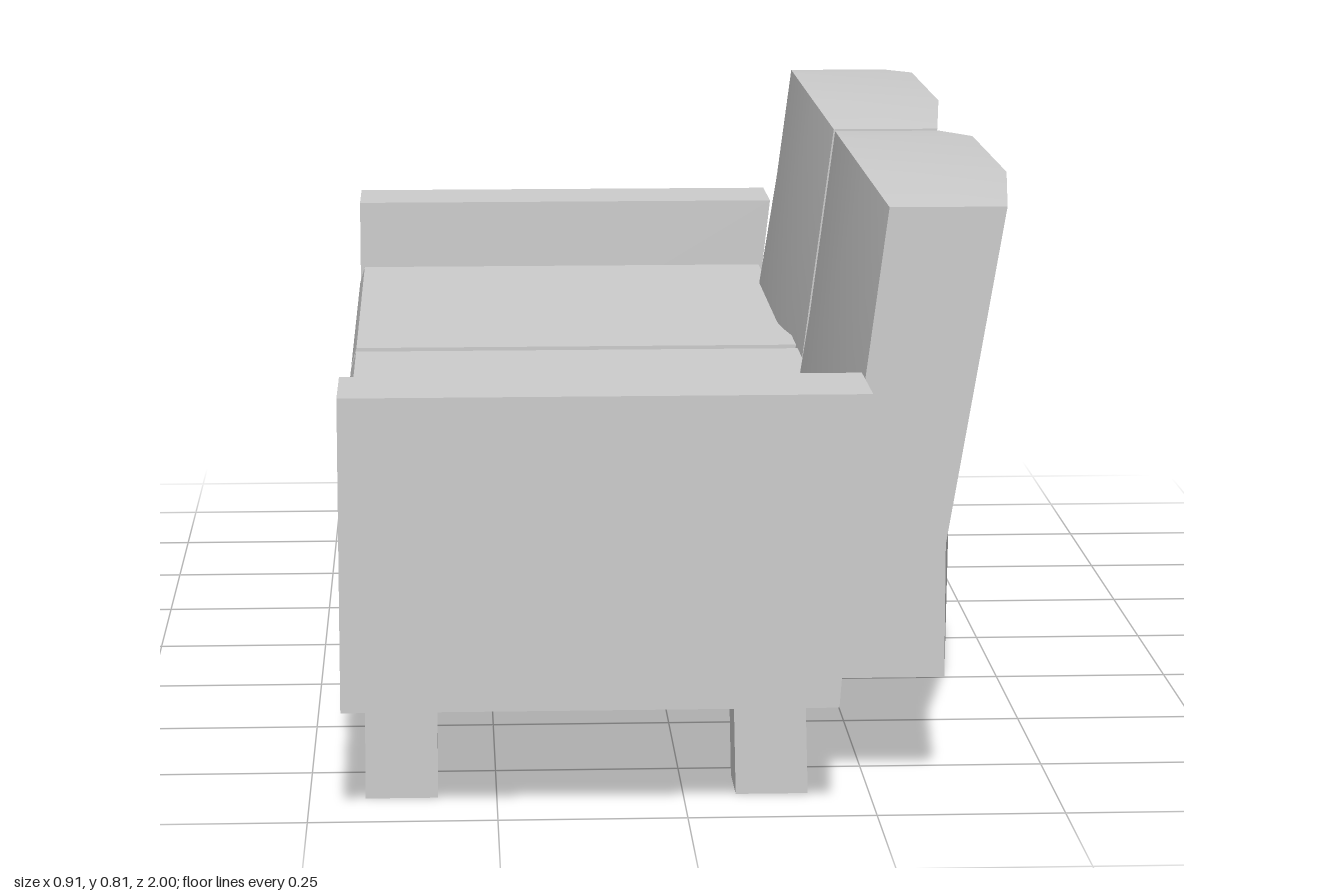
import * as THREE from 'three';
import { toCreasedNormals } from 'three/addons/utils/BufferGeometryUtils.js';

const HALF = 0.414;    // half width of one seat unit
const CENTRE = 0.426;  // z centre of each seat unit
const BOTTOM = 0.147;  // underside of the body

const material = new THREE.MeshStandardMaterial({ color: 0xcccccc });

function add(parent, name, geometry) {
  const mesh = new THREE.Mesh(geometry, material);
  mesh.name = name;
  parent.add(mesh);
  return mesh;
}

// Extrude an x/y profile from z0 to z1
function slab(points, z0, z1) {
  const shape = new THREE.Shape(points.map(([x, y]) => new THREE.Vector2(x, y)));
  const geometry = new THREE.ExtrudeGeometry(shape, { depth: z1 - z0, bevelEnabled: false });
  geometry.translate(0, 0, z0);
  return toCreasedNormals(geometry, 0.6);
}

// Skin a series of x/y cross-sections along z, with fan caps from one corner
function loft(sections, fan) {
  const n = sections[0].points.length;
  const positions = [];
  const index = [];
  sections.forEach(({ z, points }) => points.forEach(([x, y]) => positions.push(x, y, z)));
  for (let i = 0; i < sections.length - 1; i++) {
    for (let j = 0; j < n; j++) {
      const a = i * n + j, b = i * n + (j + 1) % n;
      index.push(a, a + n, b + n, a, b + n, b);
    }
  }
  const last = (sections.length - 1) * n;
  for (let k = 1; k < n - 1; k++) {
    const p = (fan + k) % n, q = (fan + k + 1) % n;
    index.push(fan, p, q, last + fan, last + q, last + p);
  }
  const geometry = new THREE.BufferGeometry();
  geometry.setAttribute('position', new THREE.Float32BufferAttribute(positions, 3));
  geometry.setIndex(index);
  return toCreasedNormals(geometry, 0.5);
}

// Backrest pad: kinked at its ends, fuller and taller in the middle
function backrestGeometry() {
  const end = [[0.2, BOTTOM], [0.215, 0.33], [0.275, 0.787], [0.432, 0.787], [0.355, 0.33], [0.355, BOTTOM]];
  const mid = [[0.2, BOTTOM], [0.187, 0.33], [0.262, 0.805], [0.457, 0.805], [0.383, 0.33], [0.355, BOTTOM]];
  return loft([
    { z: -HALF, points: end },
    { z: -0.2, points: mid },
    { z: 0.2, points: mid },
    { z: HALF, points: end },
  ], 4);
}

// Leg: a box sheared outwards towards the floor
function legGeometry(side) {
  const geometry = new THREE.BoxGeometry(0.097, BOTTOM, 0.1).translate(0, BOTTOM / 2, 0);
  const p = geometry.attributes.position;
  for (let i = 0; i < p.count; i++) {
    p.setZ(i, p.getZ(i) + side * (0.835 - 0.055 * p.getY(i) / BOTTOM));
  }
  return geometry.toNonIndexed();
}

export function createModel() {
  const sofa = new THREE.Group();
  sofa.name = 'sofa';

  const baseProfile = [[-0.455, BOTTOM], [0.2, BOTTOM], [0.215, 0.335], [-0.455, 0.335]];
  const cushionProfile = [
    [-0.4, 0.335], [-0.43, 0.344], [-0.45, 0.365], [-0.458, 0.4],
    [-0.456, 0.43], [-0.448, 0.457], [0.22, 0.457], [0.205, 0.335],
  ];
  const armProfile = [[-0.455, BOTTOM], [0.199, BOTTOM], [0.213, 0.33], [0.24, 0.565], [-0.455, 0.565]];

  for (const side of [-1, 1]) {
    const unit = new THREE.Group();
    unit.name = side > 0 ? 'leftUnit' : 'rightUnit';
    sofa.add(unit);

    // Seat base, cushion and backrest of one unit
    add(unit, 'base', slab(baseProfile, -HALF, HALF)).position.z = side * CENTRE;
    add(unit, 'seatCushion', slab(cushionProfile, -0.406, 0.406)).position.z = side * (CENTRE - 0.004);
    add(unit, 'backrest', backrestGeometry()).position.z = side * CENTRE;

    // Armrest
    add(unit, 'armrest', slab(armProfile, -0.08, 0.08)).position.z = side * 0.92;

    // Splayed legs
    for (const [name, x] of [['frontLeg', -0.377], ['rearLeg', 0.119]]) {
      add(unit, name, legGeometry(side)).position.x = x;
    }
  }

  // Recessed joint strips between the two units
  add(sofa, 'seatJoint', slab([[-0.437, 0.163], [0.23, 0.163], [0.23, 0.43], [-0.437, 0.43]], -0.014, 0.014));
  add(sofa, 'backJoint', slab(
    [[0.215, 0.163], [0.342, 0.163], [0.342, 0.33], [0.416, 0.768], [0.288, 0.768], [0.23, 0.33]], -0.014, 0.014));

  return sofa;
}
